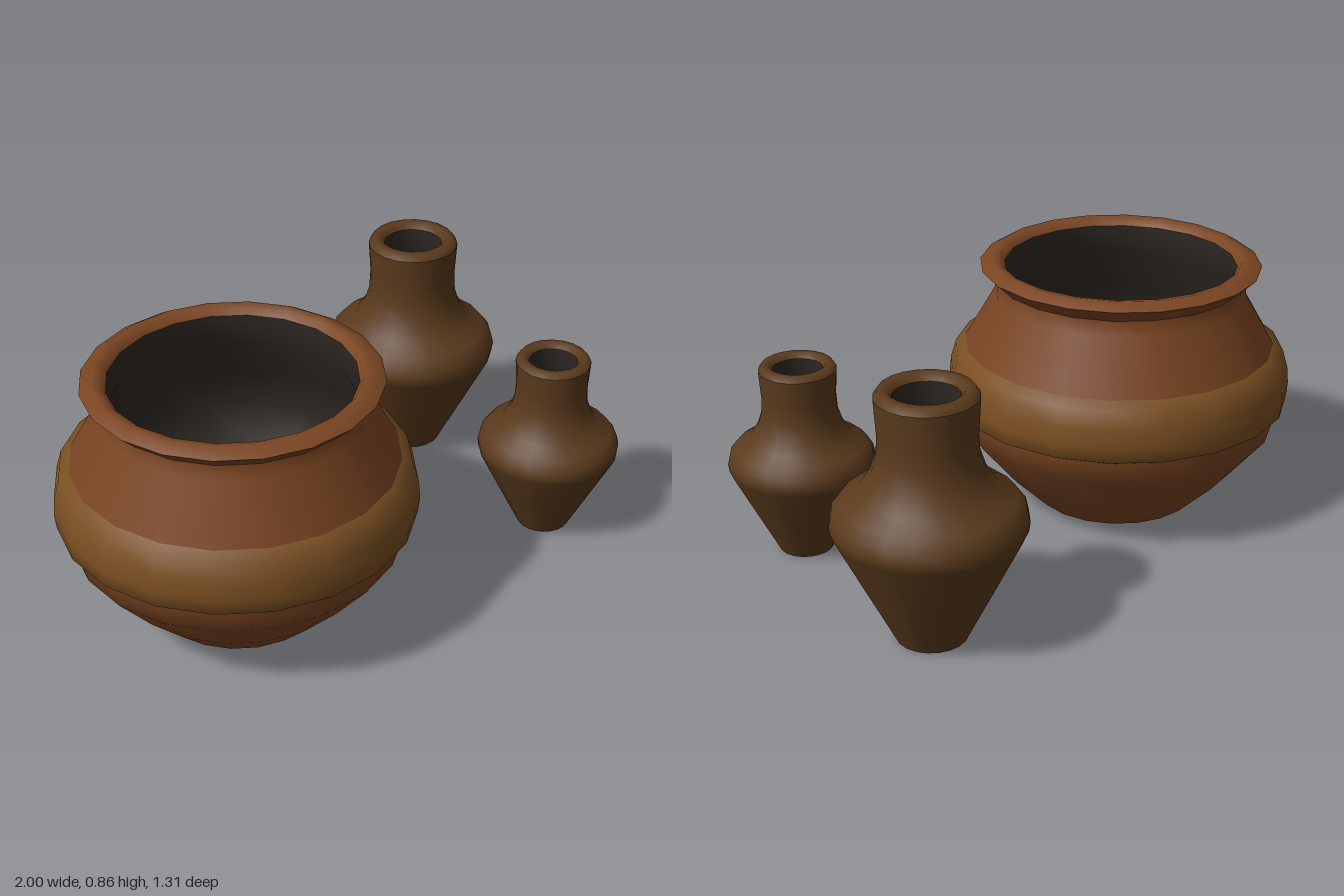
import * as THREE from 'three';

const SIDES = 20;
const clay = new THREE.MeshStandardMaterial({ color: 0x7a4522 });
const ochre = new THREE.MeshStandardMaterial({ color: 0x7a4f22 });
const darkClay = new THREE.MeshStandardMaterial({ color: 0x5a3a1c });
const hollow = new THREE.MeshStandardMaterial({ color: 0x2e2822 });

// Turned part from [radius, height] pairs; outer faces run upward, inner faces downward
function turned(name, material, profile) {
  const points = profile.map(([r, y]) => new THREE.Vector2(r, y));
  const mesh = new THREE.Mesh(new THREE.LatheGeometry(points, SIDES), material);
  mesh.name = name;
  return mesh;
}

function widePot() {
  const pot = new THREE.Group();
  pot.name = 'widePot';
  pot.add(
    turned('potBase', clay, [[0, 0], [0.277, 0]]),
    turned('potBody', clay, [
      [0.277, 0], [0.402, 0.123], [0.525, 0.27], [0.55, 0.36], [0.546, 0.45],
      [0.518, 0.56], [0.418, 0.733], [0.416, 0.79]]),
    // raised belt around the belly
    turned('potBand', ochre, [
      [0.54, 0.352], [0.57, 0.368], [0.575, 0.42], [0.57, 0.475], [0.552, 0.537], [0.515, 0.562]]),
    // flared rim and rounded lip
    turned('potRimUnderside', clay, [[0.416, 0.785], [0.466, 0.833]]),
    turned('potLip', clay, [[0.466, 0.833], [0.428, 0.856], [0.4, 0.85], [0.385, 0.83]]),
    turned('potInside', hollow, [
      [0.385, 0.83], [0.385, 0.73], [0.485, 0.555], [0.515, 0.42], [0.49, 0.28],
      [0.37, 0.14], [0.25, 0.04], [0, 0.04]])
  );
  return pot;
}

function neckedVase(name) {
  const vase = new THREE.Group();
  vase.name = name;
  vase.add(
    turned('vaseBase', darkClay, [[0, 0], [0.11, 0]]),
    turned('vaseBody', darkClay, [
      [0.11, 0], [0.2, 0.18], [0.292, 0.365], [0.296, 0.395], [0.288, 0.43], [0.262, 0.462],
      [0.205, 0.495], [0.17, 0.55], [0.152, 0.605], [0.148, 0.67], [0.155, 0.785]]),
    turned('vaseLip', darkClay, [[0.155, 0.785], [0.142, 0.805], [0.113, 0.805], [0.1, 0.785]]),
    turned('vaseInside', hollow, [
      [0.1, 0.785], [0.1, 0.6], [0.24, 0.43], [0.24, 0.36], [0.08, 0.04], [0, 0.04]])
  );
  return vase;
}

export function createModel() {
  const model = new THREE.Group();
  model.name = 'potteryGroup';

  const pot = widePot();
  pot.position.set(-0.426, 0, -0.083);

  const tallVase = neckedVase('tallVase');
  tallVase.position.set(0.702, 0, -0.279);

  const smallVase = neckedVase('smallVase');
  smallVase.scale.setScalar(0.8);
  smallVase.position.set(0.569, 0, 0.418);

  model.add(pot, tallVase, smallVase);
  return model;
}
